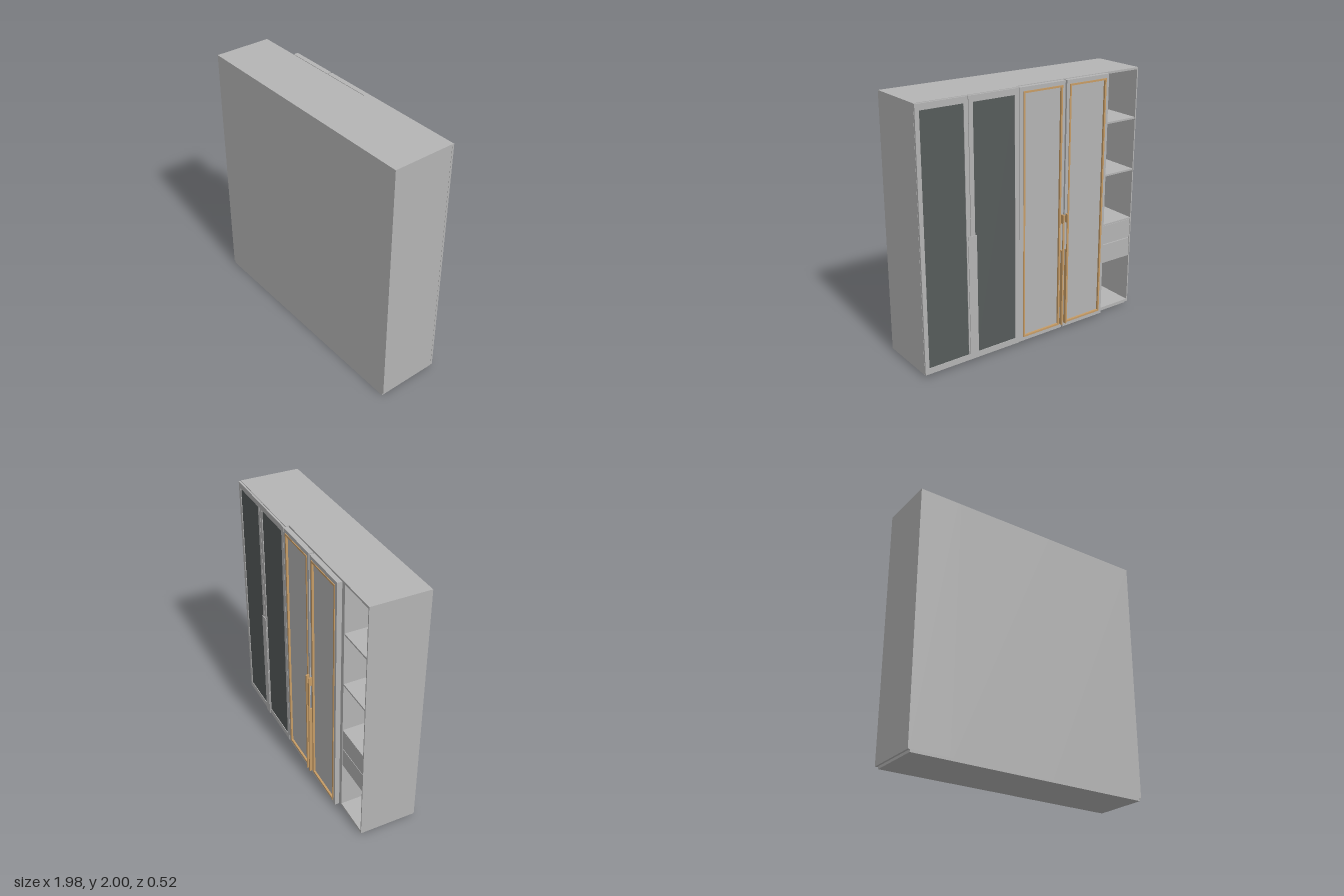
import * as THREE from 'three';

const mat = (name, color) => new THREE.MeshStandardMaterial({ name, color });

export function createModel() {
  const wardrobe = new THREE.Group();
  wardrobe.name = 'wardrobe';
  const grey = mat('grey lacquer', 0xb4b4b4);
  const glass = mat('smoked glass', 0x565b5a);
  const brass = mat('brass', 0xc69c66);

  // Box given by its limits on each axis
  function box(name, m, x0, x1, y0, y1, z0, z1, parent = wardrobe) {
    const mesh = new THREE.Mesh(new THREE.BoxGeometry(x1 - x0, y1 - y0, z1 - z0), m);
    mesh.position.set((x0 + x1) / 2, (y0 + y1) / 2, (z0 + z1) / 2);
    mesh.name = name;
    parent.add(mesh);
    return mesh;
  }

  // Rectangular frame with separate side and top/bottom widths
  function frame(name, m, x0, x1, y0, y1, z0, z1, sideA, sideB, rail) {
    const g = new THREE.Group();
    g.name = name;
    box('stile', m, x0, x0 + sideA, y0, y1, z0, z1, g);
    box('stile', m, x1 - sideB, x1, y0, y1, z0, z1, g);
    box('rail', m, x0 + sideA, x1 - sideB, y0, y0 + rail, z0, z1, g);
    box('rail', m, x0 + sideA, x1 - sideB, y1 - rail, y1, z0, z1, g);
    wardrobe.add(g);
  }

  // Plinth and closed carcasses behind the doors
  box('plinth', grey, -0.975, 0.975, 0, 0.02, -0.17, 0.26);
  box('panelDoorCarcass', grey, -0.655, 0.165, 0.02, 2, -0.19, 0.26);
  box('glassDoorCarcass', grey, 0.165, 0.99, 0.02, 2, -0.218, 0.26);

  // Glass doors
  for (const [x0, x1, a, b] of [[0.165, 0.583, 0.037, 0.035], [0.587, 0.99, 0.033, 0.033]]) {
    frame('glassDoorFrame', grey, x0, x1, 0.022, 1.997, -0.235, -0.22, a, b, 0.046);
    box('glassPane', glass, x0 + a, x1 - b, 0.068, 1.951, -0.23, -0.222);
  }

  // T-shaped pull shared by the glass doors
  box('glassDoorPullStem', grey, 0.573, 0.581, 0.03, 1, -0.243, -0.235);
  box('glassDoorPull', grey, 0.542, 0.612, 0.03, 1, -0.247, -0.242);

  // Panel doors with brass trim around a recessed field
  for (const [x0, x1, a, b] of [[-0.655, -0.257, 0.026, 0.026], [-0.243, 0.162, 0.026, 0.032]]) {
    frame('panelDoorFrame', grey, x0, x1, 0.025, 1.997, -0.235, -0.198, a, b, 0.03);
    frame('brassTrim', brass, x0 + a, x1 - b, 0.055, 1.967, -0.24, -0.21, 0.014, 0.014, 0.014);
    box('doorField', grey, x0 + a + 0.01, x1 - b - 0.01, 0.065, 1.957, -0.224, -0.2);
  }

  // Brass bar handles with a finger opening
  for (const x of [-0.27, -0.23]) {
    box('handleLowerBar', brass, x - 0.007, x + 0.007, 0.06, 0.69, -0.262, -0.235);
    box('handleGrip', brass, x - 0.007, x + 0.007, 0.69, 0.91, -0.262, -0.254);
    box('handleTopBlock', brass, x - 0.007, x + 0.007, 0.91, 0.98, -0.262, -0.235);
  }

  // Open shelf bay
  box('bayOuterSide', grey, -0.99, -0.98, 0.02, 2, -0.19, 0.26);
  box('bayInnerSide', grey, -0.677, -0.655, 0.02, 2, -0.19, 0.26);
  box('bayBack', grey, -0.98, -0.677, 0.02, 2, 0.14, 0.26);
  box('bayTop', grey, -0.98, -0.677, 1.984, 2, -0.19, 0.14);
  box('bayFloor', grey, -0.98, -0.677, 0.02, 0.04, -0.19, 0.14);
  for (const y of [1.61, 1.19, 0.775]) box('shelf', grey, -0.98, -0.677, y - 0.014, y, -0.188, 0.14);

  // Drawers
  box('drawerHousing', grey, -0.98, -0.677, 0.44, 0.761, -0.17, 0.14);
  for (const y of [0.44, 0.603]) box('drawerFront', grey, -0.978, -0.679, y, y + 0.156, -0.187, -0.17);

  return wardrobe;
}
